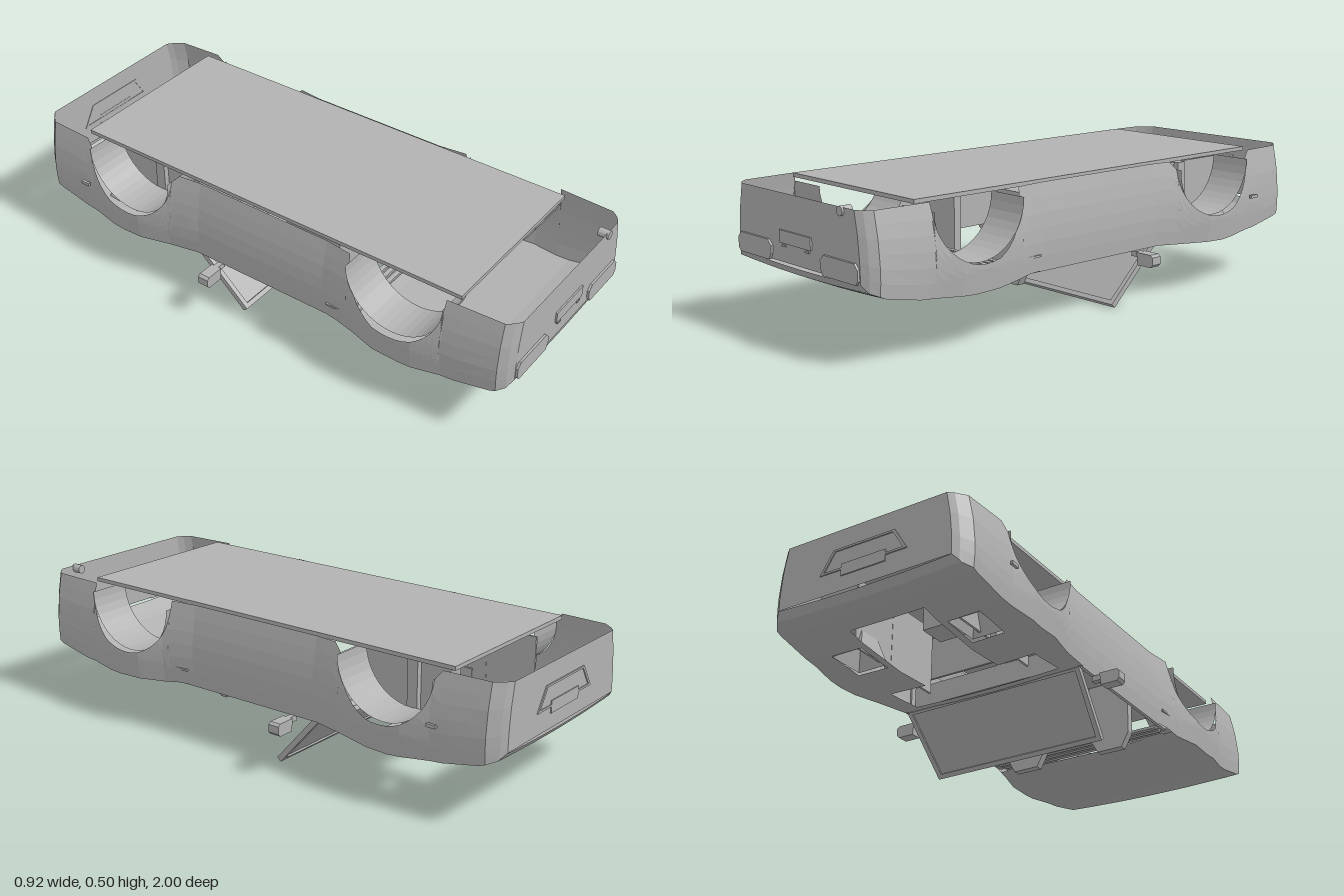
import * as THREE from 'three';

const paint = new THREE.MeshStandardMaterial({ color: 0xb2b2b2, side: THREE.DoubleSide, flatShading: true });
paint.name = 'grey';

// piecewise linear lookup
function lookup(table, v) {
  if (v <= table[0][0]) return table[0][1];
  for (let i = 1; i < table.length; i++) {
    const [a, p] = table[i - 1], [b, q] = table[i];
    if (v <= b) return p + (q - p) * (v - a) / (b - a);
  }
  return table[table.length - 1][1];
}
const WIDTH = [[-1, 0.335], [-0.985, 0.355], [-0.95, 0.385], [-0.75, 0.395], [-0.65, 0.412], [-0.52, 0.412],
  [-0.4, 0.385], [-0.27, 0.368], [0.27, 0.368], [0.4, 0.385], [0.5, 0.412], [0.65, 0.412],
  [0.75, 0.392], [0.95, 0.382], [0.975, 0.36], [0.99, 0.335]];
const DECK = [[-1, 0.275], [-0.98, 0.25], [-0.93, 0.23], [-0.8, 0.205], [-0.6, 0.188], [-0.4, 0.197], [-0.27, 0.207],
  [0.33, 0.207], [0.4, 0.197], [0.6, 0.19], [0.8, 0.204], [0.93, 0.23], [0.975, 0.25], [0.99, 0.275]];
const BULGE = [[0.19, 0.98], [0.27, 1], [0.33, 1], [0.42, 0.975], [0.5, 0.93]];
const ARCH = { y: 0.47, r: 0.185, z: [-0.57, 0.56] };

const width = z => lookup(WIDTH, z);
const deckY = z => lookup(DECK, z);
function rimY(z) {
  for (const c of ARCH.z) {
    const d = Math.abs(z - c);
    if (d <= ARCH.r + 1e-6) return ARCH.y - Math.sqrt(Math.max(0, ARCH.r ** 2 - d * d));
  }
  return 0.5;
}

// lengthwise stations, denser round the wheel arches
function stations() {
  const s = [...WIDTH, ...DECK].map(p => p[0]);
  s.push(-0.87, -0.78, -0.64, -0.46, -0.31, 0.36, 0.2, 0);
  for (const c of ARCH.z) {
    for (let k = 0; k <= 20; k++) s.push(c - ARCH.r * Math.cos(k * Math.PI / 20));
    const out = c < 0 ? 0.03 : 0.002;
    s.push(c - ARCH.r - out, c + ARCH.r + out);
  }
  s.sort((a, b) => a - b);
  return s.filter((v, i) => i === 0 || v - s[i - 1] > 1e-4);
}

function quadMesh(name, quads) {
  const pos = [];
  for (const [a, b, c, d] of quads) pos.push(...a, ...b, ...c, ...a, ...c, ...d);
  const g = new THREE.BufferGeometry();
  g.setAttribute('position', new THREE.Float32BufferAttribute(pos, 3));
  g.computeVertexNormals();
  return named(name, g);
}
function named(name, geometry) {
  const m = new THREE.Mesh(geometry, paint);
  m.name = name;
  return m;
}
function box(name, w, h, d, x, y, z) {
  const m = named(name, new THREE.BoxGeometry(w, h, d));
  m.position.set(x, y, z);
  return m;
}
function plate(name, points, depth, z, hole) {
  const shape = new THREE.Shape(points.map(p => new THREE.Vector2(...p)));
  if (hole) shape.holes.push(new THREE.Path(hole.map(p => new THREE.Vector2(...p))));
  const m = named(name, new THREE.ExtrudeGeometry(shape, { depth, bevelEnabled: false }));
  m.position.z = z;
  return m;
}

// openings in the bonnet
function isOpening(x, z) {
  const a = Math.abs(x);
  if (z > -0.27 && z < 0.36) return true;
  if (z > -0.46 && z < -0.31) return a < 0.29;
  if (z > -0.78 && z < -0.64) return a < 0.145 || (a > 0.17 && a < 0.29);
  return z > -0.87 && z < -0.31 && a < 0.145;
}

function addShell(group) {
  const zs = stations(), rows = 6;
  // side skins
  for (const s of [-1, 1]) {
    const point = (z, t) => {
      const y = deckY(z) + (rimY(z) - deckY(z)) * t;
      return [s * width(z) * lookup(BULGE, y), y, z];
    };
    const quads = [];
    for (let i = 1; i < zs.length; i++) for (let j = 0; j < rows; j++) {
      const t = j / rows, u = (j + 1) / rows;
      quads.push([point(zs[i - 1], t), point(zs[i], t), point(zs[i], u), point(zs[i - 1], u)]);
    }
    quads.length && group.add(quadMesh('bodySide', quads));
  }
  // bonnet and rear deck
  const deck = [], inner = [-0.29, -0.17, -0.145, 0, 0.145, 0.17, 0.29];
  const cols = z => {
    const e = width(z) * lookup(BULGE, deckY(z));
    return [-e, ...inner, e].map(x => [x, deckY(z) - 0.01 * (1 - (x / e) ** 2), z]);
  };
  for (let i = 1; i < zs.length; i++) {
    const a = cols(zs[i - 1]), b = cols(zs[i]), z = (zs[i] + zs[i - 1]) / 2;
    for (let j = 1; j < a.length; j++)
      if (!isOpening((a[j][0] + a[j - 1][0]) / 2, z)) deck.push([a[j - 1], b[j - 1], b[j], a[j]]);
  }
  group.add(quadMesh('deckPanels', deck));
  // end faces
  for (const [name, z] of [['rearFace', 0.99], ['noseFace', -1]]) {
    const q = [], at = (s, t) => {
      const y = deckY(z) + (0.5 - deckY(z)) * t;
      return [s * width(z) * lookup(BULGE, y), y, z];
    };
    for (let j = 0; j < rows; j++) q.push([at(-1, j / rows), at(1, j / rows), at(1, (j + 1) / rows), at(-1, (j + 1) / rows)]);
    group.add(quadMesh(name, q));
  }
}

function addSideParts(group, s) {
  // wheel arch liners
  for (const c of ARCH.z) {
    const liner = new THREE.CylinderGeometry(ARCH.r, ARCH.r, 0.16, 20, 1, true, 0, Math.PI);
    liner.rotateZ(Math.PI / 2).rotateX(0);
    const pos = liner.attributes.position;
    if (pos.getY(5) > 0) liner.rotateX(Math.PI);
    const m = named('archLiner', liner);
    m.position.set(s * 0.305, ARCH.y, c);
    group.add(m);
  }
  // front compartment wall and strut tower
  group.add(box('compartmentWall', 0.008, 0.25, 0.42, s * 0.2, 0.335, -0.57));
  group.add(box('strutTower', 0.03, 0.25, 0.04, s * 0.21, 0.335, -0.57));
  // lamp well, narrowing inwards
  const ring = (y, k) => [[-1, -1], [1, -1], [1, 1], [-1, 1]].map(([a, b]) => [s * 0.23 + a * 0.06 * k, y, -0.71 + b * 0.07 * k]);
  const r0 = ring(0.195, 1), r1 = ring(0.28, 0.6);
  group.add(quadMesh('lampWell', r0.map((p, i) => [p, r0[(i + 1) % 4], r1[(i + 1) % 4], r1[i]])));
  // door inner panel and sill rail
  group.add(box('doorPanel', 0.008, 0.2, 0.6, s * 0.35, 0.31, 0.03));
  group.add(box('doorRail', 0.012, 0.012, 0.62, s * 0.355, 0.21, 0.03));
  // door mirror
  const mirror = plate('mirror', [[0.39, 0.16], [0.45, 0.16], [0.46, 0.17], [0.46, 0.197], [0.45, 0.205], [0.385, 0.205]], 0.042, -0.2);
  mirror.scale.x = s;
  group.add(mirror, box('mirrorArm', 0.05, 0.02, 0.02, s * 0.375, 0.195, -0.18));
  // side lights and door handle
  group.add(box('sideMarker', 0.01, 0.012, 0.035, s * 0.41, 0.33, -0.77));
  group.add(box('doorHandle', 0.012, 0.007, 0.06, s * 0.371, 0.262, 0.32));
  // tail lamp
  const lamp = plate('tailLamp', [[0.15, 0.272], [0.32, 0.272], [0.332, 0.285], [0.332, 0.32], [0.315, 0.338], [0.155, 0.338],
    [0.137, 0.32], [0.137, 0.295]], 0.008, 0.99);
  lamp.scale.x = s;
  group.add(lamp);
  // seat: back with tapered headrest, and cushion
  const seat = plate('seatBack', [[-0.05, 0.13], [0.05, 0.13], [0.08, 0.185], [0.08, 0.43], [-0.08, 0.43], [-0.08, 0.185]], 0.03, 0.235);
  seat.position.x = s * 0.18;
  group.add(seat, box('seatCushion', 0.16, 0.05, 0.2, s * 0.18, 0.42, 0.14));
}

export function createModel() {
  const group = new THREE.Group();
  group.name = 'overturnedCar';
  addShell(group);
  for (const s of [-1, 1]) addSideParts(group, s);

  group.add(box('floorPan', 0.66, 0.014, 1.58, 0, 0.5, -0.01));

  // windscreen hangs from the scuttle and leans back
  const screen = new THREE.Group();
  screen.name = 'windscreen';
  const edge = [[-0.352, 0], [-0.335, -0.265], [0.335, -0.265], [0.352, 0]];
  const hole = [[-0.335, -0.01], [-0.318, -0.248], [0.318, -0.248], [0.335, -0.01]];
  screen.add(plate('screenFrame', edge, 0.02, -0.01, hole), plate('glass', hole, 0.004, -0.004));
  screen.position.set(0, 0.207, -0.275);
  screen.rotation.x = -0.74;
  group.add(screen);

  // cabin: dashboard, steering wheel, slats behind the seats
  group.add(box('dashboard', 0.66, 0.08, 0.06, 0, 0.26, -0.24));
  const wheel = named('steeringWheel', new THREE.TorusGeometry(0.055, 0.007, 6, 20));
  wheel.position.set(0.2, 0.215, -0.05);
  wheel.rotation.x = -0.5;
  group.add(wheel);
  for (let i = 0; i < 3; i++) group.add(box('slat', 0.68, 0.01, 0.018, 0, 0.205, 0.3 + i * 0.028));

  // front compartment box and catch
  group.add(box('compartmentBox', 0.12, 0.1, 0.1, 0, 0.36, -0.55));
  group.add(box('compartmentBulkhead', 0.6, 0.16, 0.008, 0, 0.36, -0.33));
  group.add(box('catchBar', 0.28, 0.012, 0.012, 0, 0.24, -0.855));

  // rear number panel, its lamps and the exhaust
  const panel = [[-0.088, 0.338], [0.085, 0.338], [0.085, 0.38], [-0.088, 0.38]];
  group.add(plate('rearPanel', panel, 0.006, 0.99));
  for (const x of [-0.067, 0.063]) group.add(box('panelLamp', 0.02, 0.006, 0.012, x, 0.33, 0.99));
  const pipe = named('exhaust', new THREE.CylinderGeometry(0.016, 0.016, 0.04, 12));
  pipe.rotation.x = Math.PI / 2;
  pipe.position.set(0.245, 0.488, 0.977);
  group.add(pipe);

  // nose intake with number panel
  group.add(plate('noseIntake', [[-0.17, 0.35], [0.17, 0.35], [0.12, 0.43], [-0.12, 0.43]], 0.006, -1.004,
    [[-0.155, 0.357], [0.155, 0.357], [0.113, 0.423], [-0.113, 0.423]]));
  group.add(plate('nosePanel', panel.map(([x, y]) => [x, y - 0.01]), 0.005, -1.004));
  return group;
}
